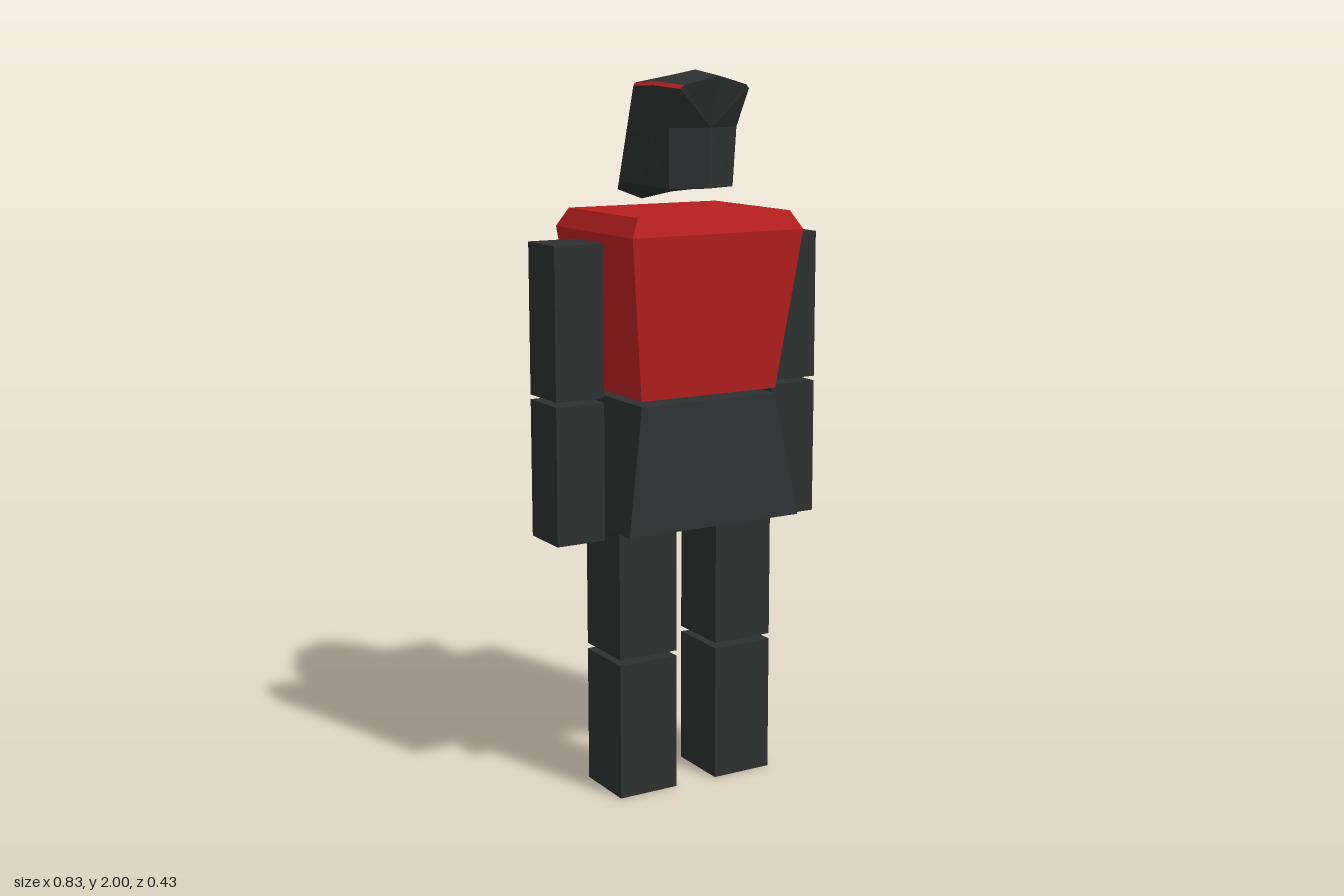
import * as THREE from 'three';

const dark = new THREE.MeshStandardMaterial({ color: 0x2e3131, flatShading: true });
const red = new THREE.MeshStandardMaterial({ color: 0xb72020, flatShading: true });

// Builds a flat-faced mesh, turning every triangle away from the centre
function facetMesh(name, triangles, center, material) {
  const positions = [];
  for (const [a, b, c] of triangles) {
    const normal = b.clone().sub(a).cross(c.clone().sub(a));
    if (normal.lengthSq() < 1e-12) continue;
    const outward = normal.dot(a.clone().add(b).add(c).divideScalar(3).sub(center)) > 0;
    for (const p of outward ? [a, b, c] : [a, c, b]) positions.push(p.x, p.y, p.z);
  }
  const geometry = new THREE.BufferGeometry();
  geometry.setAttribute('position', new THREE.Float32BufferAttribute(positions, 3));
  geometry.computeVertexNormals();
  const mesh = new THREE.Mesh(geometry, material);
  mesh.name = name;
  return mesh;
}

// Stack of rectangles, each given as [y, half width, back z, front z]
function taperedBlock(name, levels, material) {
  const rings = levels.map(([y, w, back, front]) => [
    new THREE.Vector3(-w, y, front), new THREE.Vector3(w, y, front),
    new THREE.Vector3(w, y, back), new THREE.Vector3(-w, y, back)]);
  const tris = [];
  for (let i = 0; i < rings.length - 1; i++) {
    const [lo, hi] = [rings[i], rings[i + 1]];
    for (let j = 0; j < 4; j++) {
      const k = (j + 1) % 4;
      tris.push([lo[j], lo[k], hi[k]], [lo[j], hi[k], hi[j]]);
    }
  }
  for (const r of [rings[0], rings.at(-1)]) tris.push([r[0], r[1], r[2]], [r[0], r[2], r[3]]);
  const mid = (levels[0][0] + levels.at(-1)[0]) / 2;
  return facetMesh(name, tris, new THREE.Vector3(0, mid, 0), material);
}

function box(name, x0, x1, y0, y1, z0, z1) {
  const mesh = new THREE.Mesh(new THREE.BoxGeometry(x1 - x0, y1 - y0, z1 - z0), dark);
  mesh.position.set((x0 + x1) / 2, (y0 + y1) / 2, (z0 + z1) / 2);
  mesh.name = name;
  return mesh;
}

// Faceted head from half sections, front to back:
// crown, stripe inner edge, stripe outer edge, cheek, jaw, underside
function createHead() {
  const sections = [
    [[0, 1.985, 0.207], [0.096, 1.962, 0.186], [0.106, 1.952, 0.184], [0.105, 1.85, 0.125], [0.1, 1.69, 0.115], [0, 1.69, 0.155]],
    [[0, 2, 0.085], [0.115, 1.97, 0.08], [0.125, 1.96, 0.08], [0.125, 1.85, 0.06], [0.125, 1.695, 0.045], [0, 1.682, 0.06]],
    [[0, 1.985, -0.035], [0.114, 1.965, -0.04], [0.124, 1.957, -0.03], [0.133, 1.83, -0.037], [0.142, 1.7, -0.04], [0, 1.67, -0.04]],
    [[0, 1.92, -0.157], [0.103, 1.672, -0.153], [0.111, 1.675, -0.143], [0.111, 1.675, -0.143], [0.111, 1.675, -0.143], [0, 1.64, -0.203]],
  ];
  const shell = [], stripes = [];
  for (const side of [1, -1]) {
    const point = ([x, y, z]) => new THREE.Vector3(x * side, y, z);
    const s = sections.map((section) => section.map(point));
    for (let i = 0; i < 3; i++) {
      for (let j = 0; j < 5; j++) {
        const [a, b, c, d] = [s[i][j], s[i][j + 1], s[i + 1][j + 1], s[i + 1][j]];
        (j === 1 ? stripes : shell).push([a, b, d], [b, c, d]);
      }
    }
    // Creased face panel
    const f = s[0], brow = point([0, 1.85, 0.165]);
    shell.push([f[0], f[1], brow], [f[1], f[2], brow], [f[2], f[3], brow],
      [f[3], f[4], brow], [f[4], f[5], brow]);
    // Back panel
    const b = s[3];
    shell.push([b[0], b[1], b[5]], [b[1], b[2], b[5]]);
  }
  const center = new THREE.Vector3(0, 1.82, 0);
  const head = new THREE.Group();
  head.name = 'head';
  head.add(facetMesh('headShell', shell, center, dark), facetMesh('headStripes', stripes, center, red));
  return head;
}

export function createModel() {
  const model = new THREE.Group();
  model.name = 'figure';
  model.add(createHead());

  // Bevelled torso and flared hips
  model.add(taperedBlock('torso', [
    [1.135, 0.213, -0.16, 0.163], [1.575, 0.266, -0.216, 0.213], [1.625, 0.237, -0.194, 0.19]], red));
  model.add(taperedBlock('hips', [[0.775, 0.27, -0.194, 0.196], [1.12, 0.212, -0.16, 0.163]], dark));

  // Arms and legs, mirrored
  for (const [label, side] of [['left', 1], ['right', -1]]) {
    const limb = (name, x0, x1, y0, y1, z0, z1) =>
      model.add(box(label + name, Math.min(x0 * side, x1 * side), Math.max(x0 * side, x1 * side), y0, y1, z0, z1));
    limb('UpperArm', 0.27, 0.415, 1.135, 1.55, -0.09, 0.06);
    limb('Forearm', 0.27, 0.415, 0.74, 1.122, -0.09, 0.06);
    limb('Thigh', 0.064, 0.245, 0.403, 0.763, -0.093, 0.095);
    limb('Shin', 0.064, 0.245, 0, 0.387, -0.093, 0.095);
  }
  return model;
}
